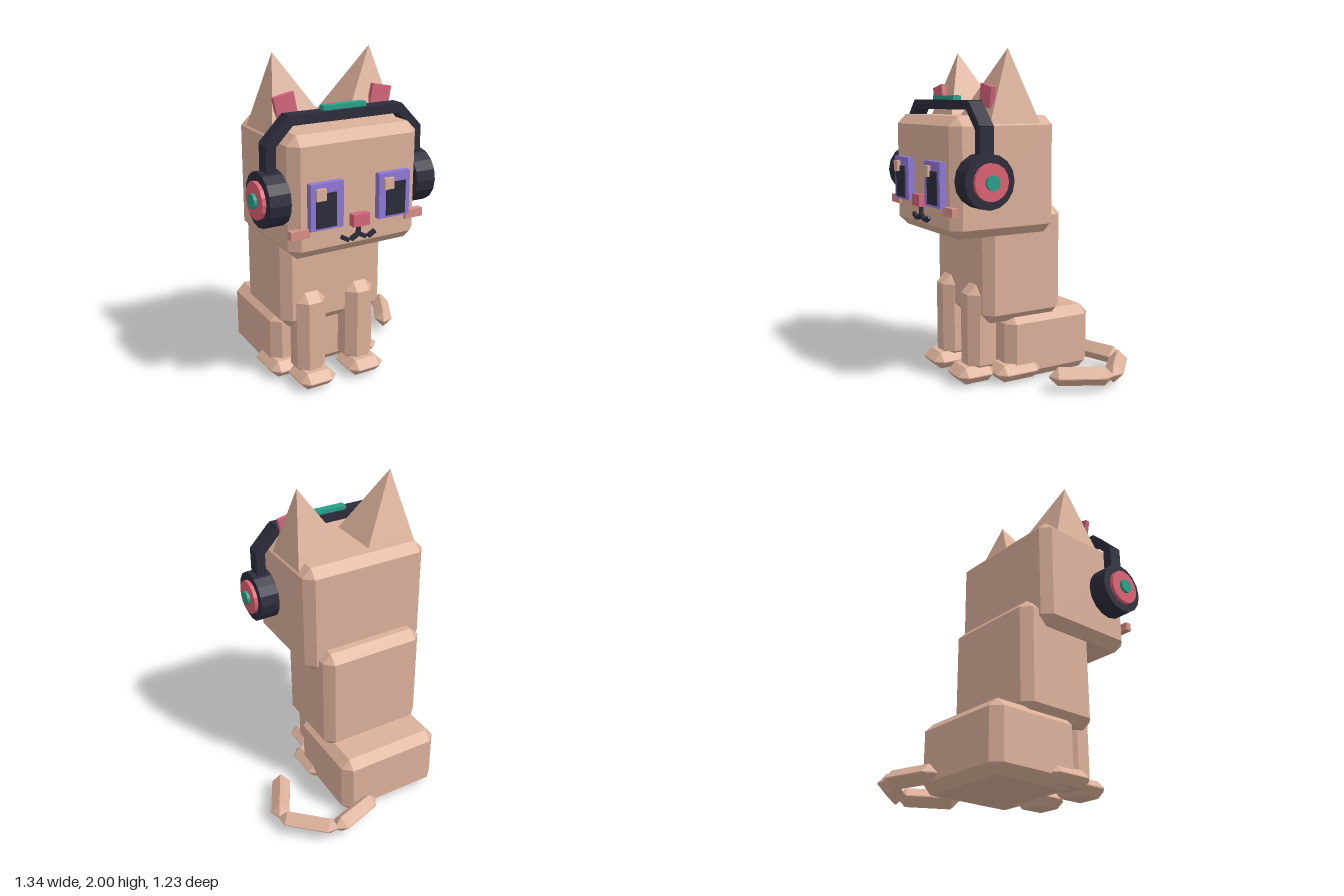
import * as THREE from 'three';
import { ConvexGeometry } from 'three/addons/geometries/ConvexGeometry.js';

const CX = -0.098; // middle of the body; the tail sweeps out to the left

export function createModel() {
  const root = new THREE.Group();
  root.name = 'sittingCat';

  const mat = (name, color) => {
    const m = new THREE.MeshStandardMaterial({ color, flatShading: true });
    m.name = name;
    return m;
  };
  const fur = mat('tan fur', 0xdcb09a);
  const dark = mat('dark navy', 0x2c2c3c);
  const purple = mat('eye purple', 0x9078d8);
  const pink = mat('nose pink', 0xd4667c);
  const coral = mat('headphone coral', 0xdc6072);
  const blush = mat('cheek blush', 0xd99088);
  const teal = mat('teal accent', 0x26a08a);

  const add = (name, geometry, material, x = 0, y = 0, z = 0, parent = root) => {
    const m = new THREE.Mesh(geometry, material);
    m.name = name;
    m.position.set(x, y, z);
    parent.add(m);
    return m;
  };

  // Box with every edge and corner cut off
  const chamferBox = (w, h, d, cut = 0.055) => {
    const c = Math.min(cut, 0.47 * Math.min(w, h, d));
    const a = w / 2, b = h / 2, e = d / 2, pts = [];
    for (const i of [-1, 1]) for (const j of [-1, 1]) for (const k of [-1, 1]) {
      pts.push(
        new THREE.Vector3(i * a, j * (b - c), k * (e - c)),
        new THREE.Vector3(i * (a - c), j * b, k * (e - c)),
        new THREE.Vector3(i * (a - c), j * (b - c), k * e)
      );
    }
    return new ConvexGeometry(pts);
  };

  // Chamfered block or plain box given by its limits
  const block = (name, x0, x1, y0, y1, z0, z1) =>
    add(name, chamferBox(x1 - x0, y1 - y0, z1 - z0), fur, (x0 + x1) / 2, (y0 + y1) / 2, (z0 + z1) / 2);
  const plate = (name, material, x0, x1, y0, y1, z0, z1) =>
    add(name, new THREE.BoxGeometry(x1 - x0, y1 - y0, z1 - z0), material,
      (x0 + x1) / 2, (y0 + y1) / 2, (z0 + z1) / 2);

  // Flat bar between two points in the xy plane
  const bar = (name, material, a, b, thick, depth, z) => {
    const dx = b[0] - a[0], dy = b[1] - a[1];
    const m = add(name, new THREE.BoxGeometry(Math.hypot(dx, dy), thick, depth), material,
      (a[0] + b[0]) / 2, (a[1] + b[1]) / 2, z);
    m.rotation.z = Math.atan2(dy, dx);
    return m;
  };

  // Body
  block('haunches', CX - 0.342, CX + 0.342, 0, 0.415, -0.46, 0.15);
  block('torso', CX - 0.342, CX + 0.342, 0.38, 1.07, -0.24, 0.30);
  block('head', CX - 0.41, CX + 0.41, 0.92, 1.615, -0.14, 0.545);

  for (const s of [-1, 1]) {
    const side = s > 0 ? 'left' : 'right';
    const X = (d) => CX + s * d;
    const span = (a, b) => (s > 0 ? [X(a), X(b)] : [X(b), X(a)]);

    // Legs and paws
    block(side + 'FrontLeg', ...span(0.07, 0.263), 0.06, 0.605, 0.163, 0.36);
    block(side + 'FrontPaw', ...span(0.048, 0.288), 0.01, 0.112, 0.19, 0.44);
    block(side + 'HindPaw', ...span(0.16, 0.38), 0.012, 0.115, -0.08, 0.225);

    // Ear, leaning outwards
    const earShape = new THREE.ConeGeometry(0.18 * Math.SQRT2, 0.437, 4);
    earShape.rotateY(Math.PI / 4);
    earShape.translate(0, 0.2185, 0);
    add(side + 'Ear', earShape, fur, X(0.23), 1.571, 0.14).rotation.z = -s * 0.19;
    add(side + 'InnerEar', new THREE.BoxGeometry(0.125, 0.125, 0.03), pink, X(0.305), 1.728, 0.272)
      .rotation.z = -s * 0.2;

    // Eye, pupil and cheek
    plate(side + 'Eye', purple, ...span(0.114, 0.317), 1.098, 1.36, 0.53, 0.585);
    plate(side + 'Pupil', dark, ...span(0.16, 0.286), 1.112, 1.305, 0.57, 0.592);
    const hx = s > 0 ? 0.072 : -0.358;
    plate(side + 'EyeHighlight', fur, hx - 0.03, hx + 0.03, 1.27, 1.335, 0.575, 0.605);
    plate(side + 'Cheek', blush, ...span(0.31, 0.427), 1.06, 1.11, 0.525, 0.565);

    // Curled half of the mouth
    bar(side + 'MouthInner', dark, [X(0), 1.027], [X(0.048), 1.0], 0.024, 0.03, 0.55);
    bar(side + 'MouthOuter', dark, [X(0.064), 0.998], [X(0.108), 1.024], 0.024, 0.03, 0.55);

    // Headphone cup, built outwards in rings
    const rings = [
      ['EarCup', dark, 0.157, 0.405, 0.53],
      ['CupRing', coral, 0.107, 0.52, 0.553],
      ['CupButton', teal, 0.043, 0.54, 0.571]
    ];
    for (const [name, material, r, a, b] of rings) {
      const g = new THREE.CylinderGeometry(r, r, b - a, 16);
      g.rotateZ(Math.PI / 2);
      add(side + name, g, material, X((a + b) / 2), 1.257, 0.382);
    }

    // Side arms of the headband
    bar(side + 'BandUpright', dark, [X(0.467), 1.36], [X(0.467), 1.56], 0.058, 0.088, 0.382);
    bar(side + 'BandDiagonal', dark, [X(0.475), 1.545], [X(0.345), 1.68], 0.055, 0.088, 0.382);
  }

  // Nose and middle of the mouth
  plate('nose', pink, CX - 0.052, CX + 0.052, 1.08, 1.15, 0.53, 0.592);
  plate('mouthLine', dark, CX - 0.011, CX + 0.011, 1.015, 1.085, 0.535, 0.565);

  // Top of the headband
  plate('bandTop', dark, CX - 0.36, CX + 0.36, 1.65, 1.705, 0.338, 0.426);
  plate('bandAccent', teal, CX - 0.135, CX + 0.135, 1.695, 1.731, 0.353, 0.403);

  // Tail lying on the ground, curling forwards
  const tail = [
    [[0.04, -0.475], [0.395, -0.585]],
    [[0.37, -0.59], [0.647, -0.325]],
    [[0.645, -0.335], [0.465, 0.008]]
  ];
  tail.forEach(([a, b], i) => {
    const dx = b[0] - a[0], dz = b[1] - a[1];
    const m = add('tailSegment' + (i + 1), chamferBox(Math.hypot(dx, dz), 0.115, 0.115), fur,
      (a[0] + b[0]) / 2, 0.087, (a[1] + b[1]) / 2);
    m.rotation.y = -Math.atan2(dz, dx);
  });

  return root;
}
